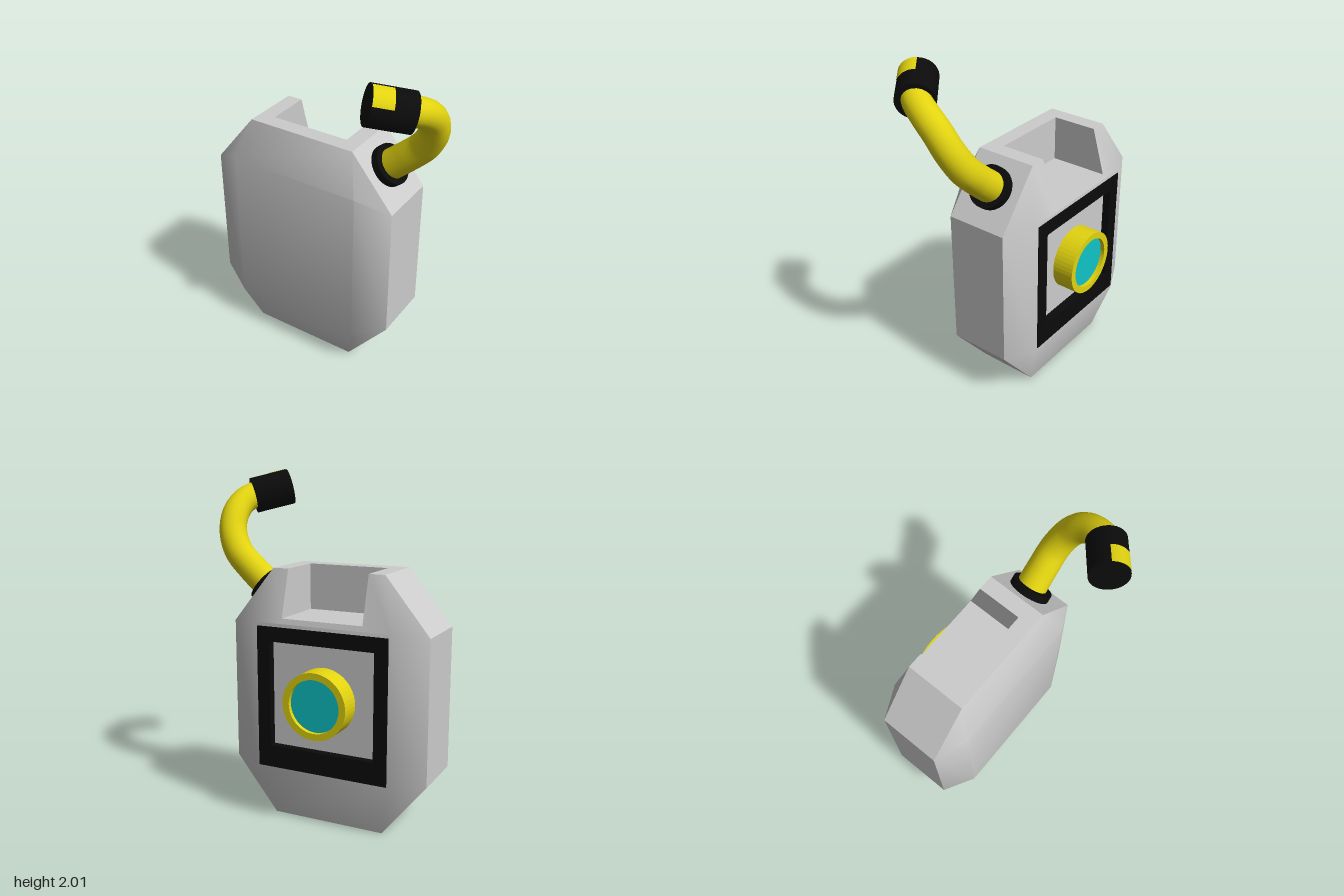
import * as THREE from 'three';
import { toCreasedNormals } from 'three/addons/utils/BufferGeometryUtils.js';

const mat = (name, color, side = THREE.FrontSide) => {
  const m = new THREE.MeshStandardMaterial({ color, side });
  m.name = name;
  return m;
};

const V = (x, y, z) => new THREE.Vector3(x, y, z);
const CX = -0.12; // centre line of the tank

// Collects convex faces, turned away from a reference point (or towards it)
function faceBuilder() {
  const pos = [];
  return {
    add(pts, ref, inward = false) {
      const n = pts[1].clone().sub(pts[0]).cross(pts[2].clone().sub(pts[0]));
      const out = n.dot(pts[0].clone().sub(ref)) > 0;
      const p = out !== inward ? pts : [...pts].reverse();
      for (let i = 1; i < p.length - 1; i++)
        for (const v of [p[0], p[i], p[i + 1]]) pos.push(v.x, v.y, v.z);
    },
    build(crease) {
      const g = new THREE.BufferGeometry();
      g.setAttribute('position', new THREE.Float32BufferAttribute(pos, 3));
      return toCreasedNormals(g, crease);
    },
  };
}

function bodyGeometry() {
  const f = faceBuilder();
  const c = V(CX, 0.735, -0.07);
  const zf = 0.11, zb = -0.255;
  // octagon outline, clockwise from the top left corner of the front
  const outline = [[-0.46, 1.47], [0.22, 1.47], [0.48, 1.15], [0.48, 0.32],
    [0.22, 0], [-0.46, 0], [-0.72, 0.32], [-0.72, 1.15]];
  const at = (i, z) => V(...outline[i % 8], z);
  const rect = (y0, y1, z) => [V(-0.53, y1, z), V(0.29, y1, z), V(0.29, y0, z), V(-0.53, y0, z)];
  const front = rect(0.24, 1.23, 0.2);
  const back = rect(0.30, 1.17, -0.342);

  // notch limits
  const nl = -0.365, nr = 0.125, nz = 0.015, ny = 1.2, nb = -0.333;

  // rim walls, except the notched top
  for (let i = 1; i < 8; i++) f.add([at(i, zf), at(i + 1, zf), at(i + 1, zb), at(i, zb)], c);

  // sloping faces: four trapezoids and four corner triangles per side
  for (let k = 0; k < 4; k++) {
    const n = (k + 1) % 4;
    f.add([at(2 * k, zf), at(2 * k + 1, zf), front[n], front[k]], c);
    f.add([at(2 * k + 1, zf), at(2 * k + 2, zf), front[n]], c);
    if (k > 0) f.add([at(2 * k, zb), at(2 * k + 1, zb), back[n], back[k]], c);
    f.add([at(2 * k + 1, zb), at(2 * k + 2, zb), back[n]], c);
  }
  f.add(front, c);

  // back face, open behind the frame
  const open = [V(-0.48, 1.11, -0.342), V(0.24, 1.11, -0.342), V(0.24, 0.4, -0.342), V(-0.48, 0.4, -0.342)];
  for (let k = 0; k < 4; k++) {
    const n = (k + 1) % 4;
    f.add([back[k], back[n], open[n], open[k]], c);
  }

  // top and upper back slope around the notch
  for (const [edge, x, corner] of [[-0.46, nl, back[0]], [0.22, nr, back[1]]]) {
    f.add([V(edge, 1.47, nz), V(x, 1.47, nz), V(x, 1.47, zb), V(edge, 1.47, zb)], c);
    f.add([corner, V(edge, 1.47, zb), V(x, 1.47, zb), V(x, ny, nb), V(x, 1.17, -0.342)], c);
  }
  f.add([at(0, zf), at(1, zf), V(0.22, 1.47, nz), V(-0.46, 1.47, nz)], c);
  f.add([V(nl, ny, nb), V(nr, ny, nb), V(nr, 1.17, -0.342), V(nl, 1.17, -0.342)], c);

  // notch walls and floor
  const nc = V(CX, 1.35, -0.12);
  for (const x of [nl, nr])
    f.add([V(x, 1.47, nz), V(x, 1.47, zb), V(x, ny, nb), V(x, ny, nz)], nc, true);
  f.add([V(nl, 1.47, nz), V(nr, 1.47, nz), V(nr, ny, nz), V(nl, ny, nz)], nc, true);
  f.add([V(nl, ny, nz), V(nr, ny, nz), V(nr, ny, nb), V(nl, ny, nb)], nc, true);
  return f.build(0.6);
}

function rectPath(P, x0, x1, y0, y1) {
  return new P().moveTo(x0, y0).lineTo(x1, y0).lineTo(x1, y1).lineTo(x0, y1).closePath();
}

export function createModel() {
  const model = new THREE.Group();
  const grey = mat('light grey', 0xcccccc);
  const black = mat('black', 0x0b0b0b);
  const yellow = mat('yellow', 0xe2d310, THREE.DoubleSide);
  const teal = mat('teal', 0x10c4c6);

  const add = (name, geo, material, pos) => {
    const m = new THREE.Mesh(geo, material);
    m.name = name;
    if (pos) m.position.copy(pos);
    model.add(m);
    return m;
  };
  const UP = V(0, 1, 0);

  add('tankBody', bodyGeometry(), grey);

  // back window frame with a recessed panel
  const frame = rectPath(THREE.Shape, -0.52, 0.28, 0.32, 1.15);
  frame.holes.push(rectPath(THREE.Path, -0.44, 0.2, 0.45, 1.065));
  add('backFrame', new THREE.ExtrudeGeometry(frame, { depth: 0.052, bevelEnabled: false }),
    black, V(0, 0, -0.347));
  add('backPanel', new THREE.PlaneGeometry(0.68, 0.66), grey, V(CX, 0.757, -0.3)).rotation.y = Math.PI;

  // porthole ring and glass
  const ring = new THREE.Shape().absarc(0, 0, 0.192, 0, Math.PI * 2);
  ring.holes.push(new THREE.Path().absarc(0, 0, 0.153, 0, Math.PI * 2));
  add('portholeRing', new THREE.ExtrudeGeometry(ring, { depth: 0.135, bevelEnabled: false, curveSegments: 24 }),
    yellow, V(CX, 0.745, -0.43));
  add('portholeGlass', new THREE.CircleGeometry(0.155, 40), teal, V(CX, 0.745, -0.405)).rotation.y = Math.PI;

  // collar on the sloping shoulder
  add('hoseCollar', new THREE.CylinderGeometry(0.122, 0.122, 0.045, 32), black, V(0.355, 1.34, -0.075))
    .quaternion.setFromUnitVectors(UP, V(0.776, 0.631, 0).normalize());

  // hose, slightly thinner towards the nozzle
  const path = new THREE.CatmullRomCurve3([
    V(0.33, 1.32, -0.078), V(0.46, 1.43, -0.08), V(0.56, 1.53, -0.075), V(0.62, 1.64, -0.04),
    V(0.64, 1.74, 0.02), V(0.635, 1.81, 0.1), V(0.6, 1.855, 0.19), V(0.53, 1.875, 0.255)]);
  const rows = 48, sides = 20;
  const hose = new THREE.TubeGeometry(path, rows, 0.09, sides);
  const p = hose.attributes.position, v = V(0, 0, 0);
  for (let i = 0; i < p.count; i++) {
    const t = Math.floor(i / (sides + 1)) / rows;
    const mid = path.getPointAt(t);
    v.fromBufferAttribute(p, i).sub(mid).multiplyScalar(1 - 0.15 * t).add(mid);
    p.setXYZ(i, v.x, v.y, v.z);
  }
  add('hose', hose, yellow);

  // nozzle with a yellow patch on its upper side
  const axis = V(-0.76, 0.23, 0.61).normalize();
  const top = V(0.34, 0.83, 0.42).addScaledVector(axis, -V(0.34, 0.83, 0.42).dot(axis)).normalize();
  const nozzle = new THREE.Group();
  nozzle.name = 'nozzle';
  nozzle.position.set(0.52, 1.875, 0.26);
  nozzle.quaternion.setFromRotationMatrix(
    new THREE.Matrix4().makeBasis(axis.clone().cross(top), axis, top));
  const cap = new THREE.Mesh(new THREE.CylinderGeometry(0.108, 0.108, 0.236, 32), black);
  cap.name = 'nozzleCap';
  const patch = new THREE.Mesh(
    new THREE.CylinderGeometry(0.111, 0.111, 0.11, 12, 1, true, -0.6, 1.2), yellow);
  patch.name = 'nozzlePatch';
  patch.position.y = 0.062;
  nozzle.add(cap, patch);
  model.add(nozzle);

  return model;
}
